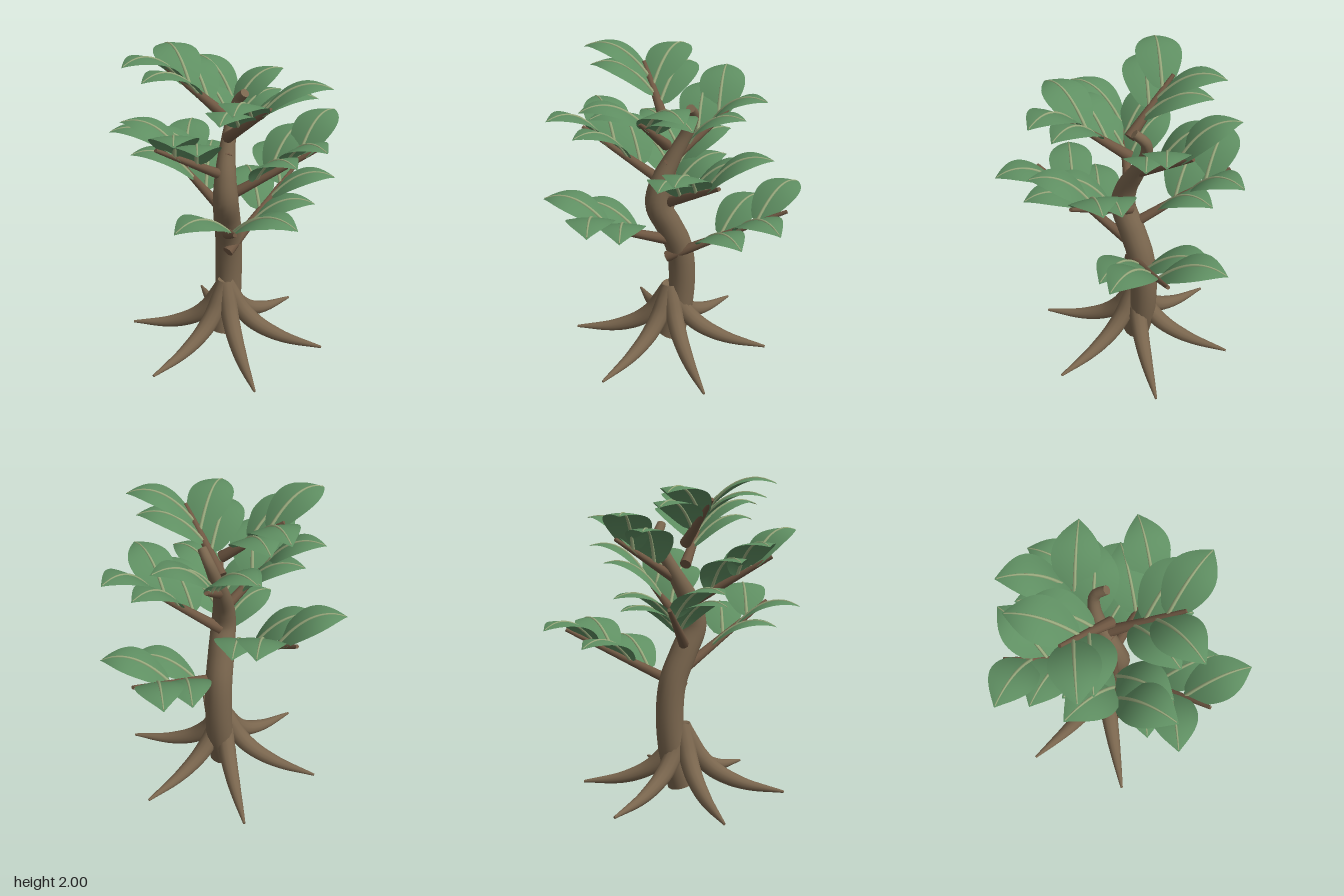
import * as THREE from 'three';
import { mergeGeometries } from 'three/addons/utils/BufferGeometryUtils.js';

const mat = (name, color, side = THREE.FrontSide) => {
  const m = new THREE.MeshStandardMaterial({ color, side });
  m.name = name;
  return m;
};

// Piecewise-linear lookup of evenly spaced values
function sample(values, u) {
  const f = u * (values.length - 1);
  const i = Math.min(Math.floor(f), values.length - 2);
  return THREE.MathUtils.lerp(values[i], values[i + 1], f - i);
}

// Tube along a curve with a changing radius and closed ends
function taperedTube(curve, radii, rings, sides) {
  const tube = new THREE.TubeGeometry(curve, rings, 1, sides, false);
  const pos = tube.attributes.position;
  const p = new THREE.Vector3();
  for (let i = 0; i <= rings; i++) {
    const c = curve.getPointAt(i / rings);
    const r = sample(radii, i / rings);
    for (let j = 0; j <= sides; j++) {
      const k = i * (sides + 1) + j;
      p.fromBufferAttribute(pos, k).sub(c).multiplyScalar(r).add(c);
      pos.setXYZ(k, p.x, p.y, p.z);
    }
  }
  const parts = [tube];
  for (const end of [0, 1]) {
    const dir = curve.getTangentAt(end).multiplyScalar(end ? 1 : -1);
    const cap = new THREE.CircleGeometry(sample(radii, end), sides);
    cap.applyQuaternion(new THREE.Quaternion().setFromUnitVectors(new THREE.Vector3(0, 0, 1), dir));
    const c = curve.getPointAt(end);
    cap.translate(c.x, c.y, c.z);
    parts.push(cap);
  }
  return mergeGeometries(parts);
}

const spline = (pts) => new THREE.CatmullRomCurve3(pts.map((p) => new THREE.Vector3(...p)));

// Midline of a leaf growing along +x and arching over
const LEAF_LENGTH = 0.42;
const leafRise = (u) => 0.2 * (1 - (1 - u / 0.71) ** 2);

// Pointed oval blade, bent along the midline
function leafBlade() {
  const g = new THREE.PlaneGeometry(1, 2, 18, 6);
  g.rotateX(-Math.PI / 2);
  const pos = g.attributes.position;
  for (let i = 0; i < pos.count; i++) {
    const u = pos.getX(i) + 0.5;
    const s = pos.getZ(i);
    const w = 0.143 * Math.max(Math.sin(Math.PI * u ** 0.9), 0) ** (0.6 + 0.4 * u);
    pos.setXYZ(i, u * LEAF_LENGTH, leafRise(u) - 0.018 * s * s * (w / 0.143), s * w);
  }
  g.computeVertexNormals();
  return g;
}

function leafRib() {
  const pts = [];
  for (let i = 0; i <= 6; i++) {
    const u = (i / 6) * 0.97;
    pts.push([u * LEAF_LENGTH, leafRise(u), 0]);
  }
  return taperedTube(spline(pts), [0.012, 0.009, 0.004], 14, 6);
}

export function createModel() {
  const tree = new THREE.Group();
  tree.name = 'tree';
  const bark = mat('bark brown', 0x7a664e);
  const wood = mat('branch brown', 0x705843);
  const green = mat('leaf green', 0x5f8f62, THREE.DoubleSide);
  const pale = mat('rib pale green', 0x9aab7e);

  const add = (parent, name, geometry, material) => {
    const mesh = new THREE.Mesh(geometry, material);
    mesh.name = name;
    parent.add(mesh);
    return mesh;
  };

  // Winding trunk with a hooked top
  const trunkPath = spline([
    [-0.02, 0.04, -0.055], [0.035, 0.25, -0.075], [0.055, 0.5, -0.08],
    [0.035, 0.72, -0.065], [-0.03, 0.9, -0.025], [-0.092, 1.06, 0.015],
    [-0.075, 1.2, 0.0], [0.0, 1.36, -0.045], [0.085, 1.52, -0.075],
    [0.125, 1.64, -0.06], [0.11, 1.705, 0.005],
  ]);
  add(tree, 'trunk',
    taperedTube(trunkPath, [0.092, 0.09, 0.088, 0.088, 0.087, 0.085, 0.08, 0.064, 0.047, 0.037, 0.028], 60, 16), bark);

  // Six flaring roots around one hub
  const rootPath = spline([[0, 0.42, 0], [0.045, 0.335, 0], [0.105, 0.235, 0], [0.21, 0.135, 0], [0.39, 0.055, 0], [0.655, 0.011, 0]]);
  const rootGeo = taperedTube(rootPath, [0.055, 0.06, 0.056, 0.045, 0.028, 0.008], 28, 12);
  for (let i = 0; i < 6; i++) {
    const root = add(tree, 'root', rootGeo, bark);
    root.position.set(-0.025, 0, -0.045);
    root.rotation.y = -THREE.MathUtils.degToRad(5 + i * 60);
  }

  // Branches in a golden-angle spiral: reach, rise, leaf tilt
  const branches = [
    [0.76, 0.37, -0.05], [0.71, 0.36, -0.05], [0.65, 0.35, 0.06], [0.575, 0.335, 0.13],
    [0.54, 0.325, 0.13], [0.48, 0.31, 0.16], [0.42, 0.3, 0], [0.37, 0.285, -0.02],
  ];
  const bladeGeo = leafBlade();
  const ribGeo = leafRib();
  branches.forEach(([reach, rise, tilt], i) => {
    const branch = new THREE.Group();
    branch.name = 'branch';
    branch.position.set(-0.04, 0.665 + i * 0.132, -0.012);
    branch.rotation.y = -THREE.MathUtils.degToRad(i * 137.5);
    const path = new THREE.LineCurve3(new THREE.Vector3(0, 0, 0), new THREE.Vector3(reach, rise, 0));
    add(branch, 'branchStem', taperedTube(path, [0.036, 0.012], 6, 10), wood);

    // Four leaves on alternate sides
    for (let k = 0; k < 4; k++) {
      const t = 0.3 + 0.15 * k;
      const leaf = new THREE.Group();
      leaf.name = 'leaf';
      leaf.position.set(t * reach, t * rise, 0);
      leaf.rotation.set(0, THREE.MathUtils.degToRad(k % 2 ? 52 : -52), tilt);
      add(leaf, 'leafBlade', bladeGeo, green);
      add(leaf, 'leafRib', ribGeo, pale);
      branch.add(leaf);
    }
    tree.add(branch);
  });
  return tree;
}
